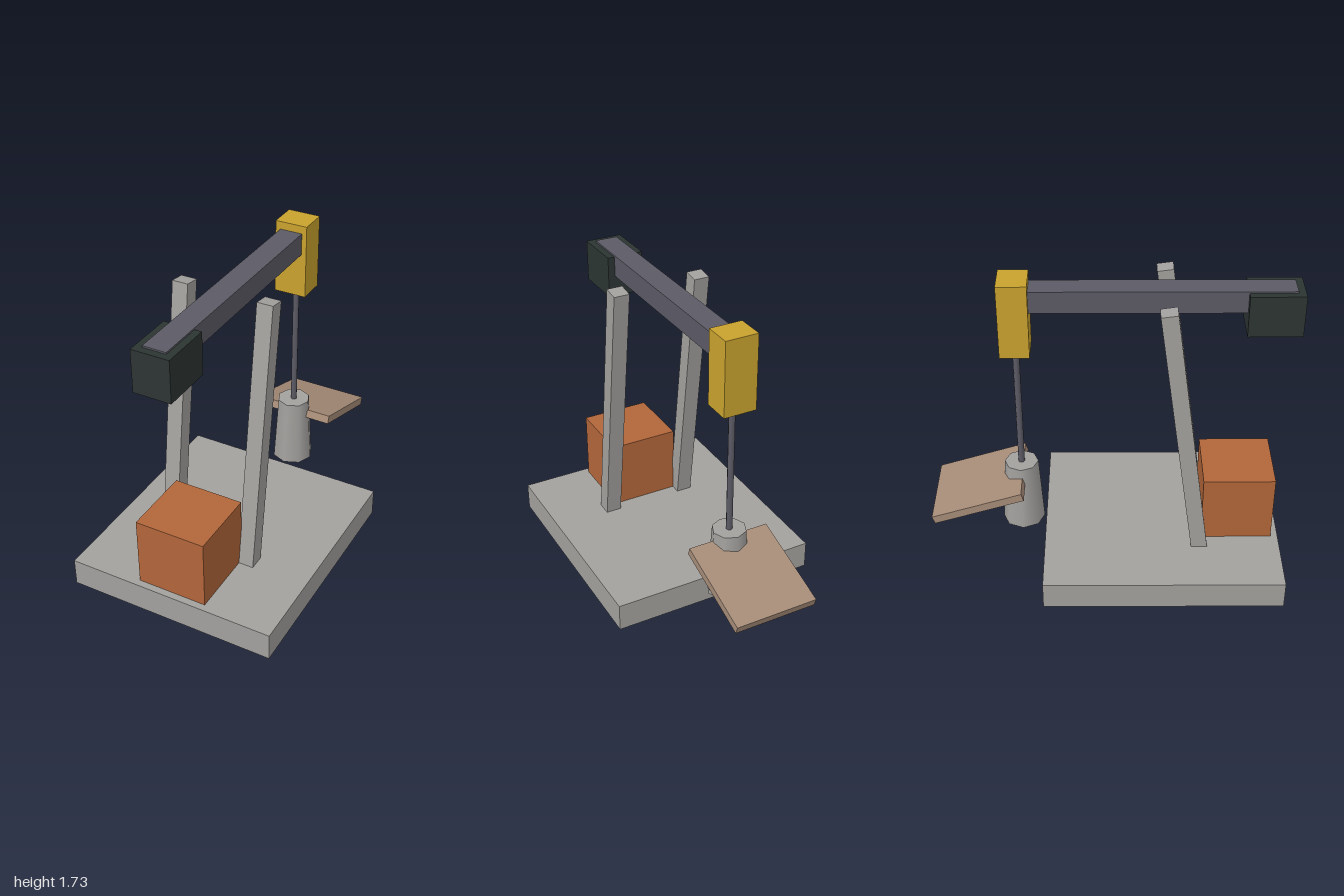
import * as THREE from 'three';

const mat = (name, color) => {
  const m = new THREE.MeshStandardMaterial({ color });
  m.name = name;
  return m;
};

export function createModel() {
  const concrete = mat('concrete grey', 0xa3a19e);
  const steel = mat('blue grey steel', 0x5c5b66);
  const yellow = mat('yellow', 0xc9a22e);
  const black = mat('green black', 0x2c3533);
  const rust = mat('rust orange', 0xb2663a);
  const wood = mat('dull wood', 0xa68c78);

  const model = new THREE.Group();
  model.name = 'pumpJack';

  const add = (name, geometry, material, x, y, z, tilt = 0) => {
    const mesh = new THREE.Mesh(geometry, material);
    mesh.name = name;
    mesh.position.set(x, y, z);
    mesh.rotation.x = tilt;
    model.add(mesh);
  };
  const box = (w, h, d) => new THREE.BoxGeometry(w, h, d);

  // Slab and motor housing
  add('base', box(1.2, 0.16, 1.33), concrete, 0, 0.08, 0.295);
  add('motorHousing', box(0.4, 0.4, 0.4), rust, 0, 0.36, 0.72);

  // Pair of leaning support legs, footed inside the slab
  for (const side of [-1, 1]) {
    add(side > 0 ? 'leftLeg' : 'rightLeg', box(0.09, 1.54, 0.09), concrete,
      side * 0.24, 0.905, 0.401, -0.138);
  }

  // Walking beam with counterweight and head
  add('beam', box(0.13, 0.125, 1.42), steel, 0, 1.6225, 0.25);
  add('counterweight', box(0.21, 0.236, 0.29), black, 0, 1.558, 0.855);
  add('head', box(0.186, 0.425, 0.16), yellow, 0, 1.5175, -0.5);

  // Rod running down into the tapered wellhead
  add('rod', new THREE.CylinderGeometry(0.018, 0.018, 0.9, 8), steel, 0, 0.95, -0.5);
  add('wellhead', new THREE.CylinderGeometry(0.095, 0.12, 0.4, 8), concrete, 0, 0.36, -0.5);

  // Sloping plank behind the wellhead
  add('plank', box(0.475, 0.048, 0.532), wood, 0, 0.4, -0.74, -0.31);

  return model;
}
